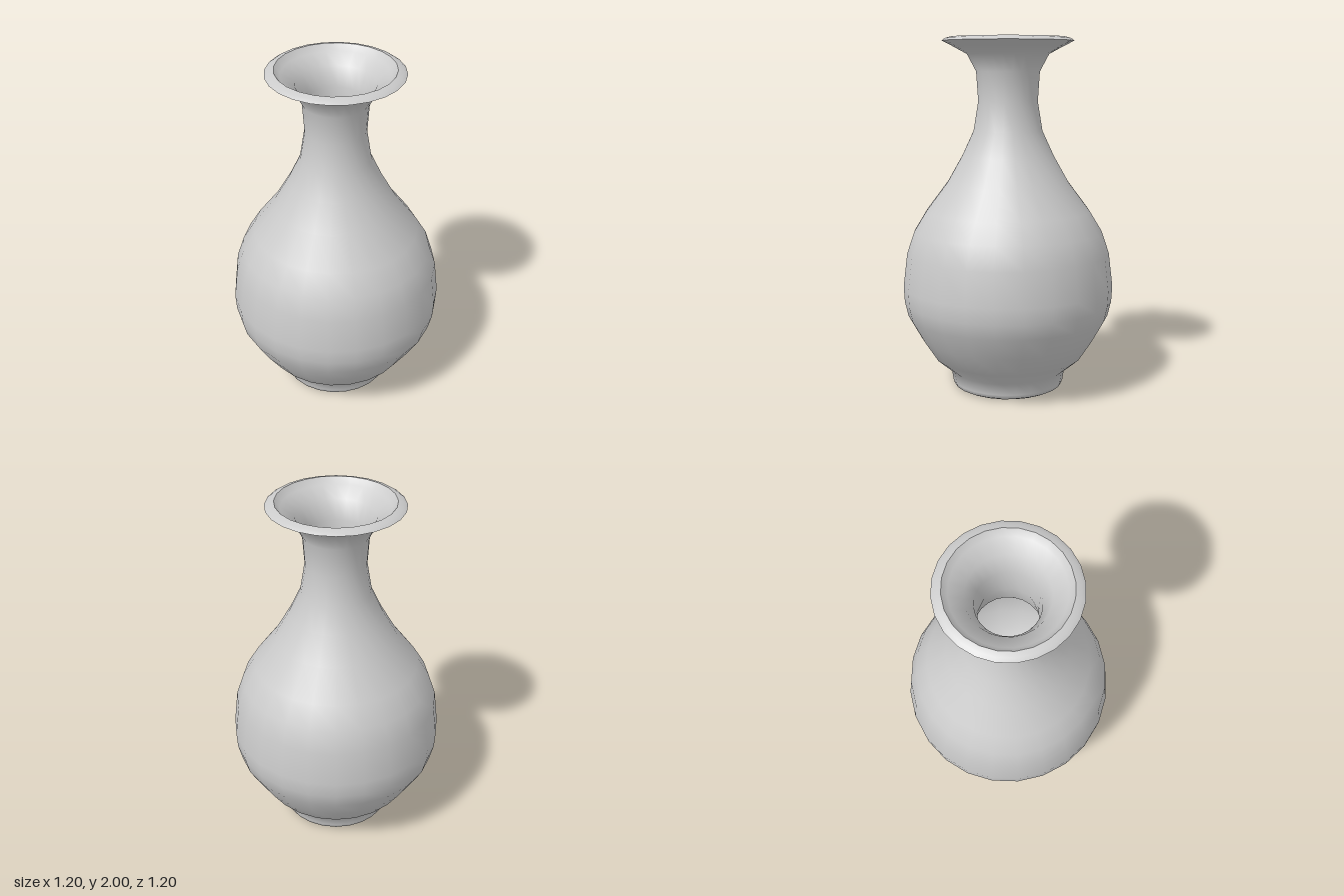
import * as THREE from 'three';

const SIDES = 24;
const material = new THREE.MeshStandardMaterial({ color: 0xcccccc });

// Revolve a [radius, height] profile; separate profiles keep the edges between them sharp
function turned(name, profile) {
  const points = profile.map(([r, y]) => new THREE.Vector2(r, y));
  const mesh = new THREE.Mesh(new THREE.LatheGeometry(points, SIDES), material);
  mesh.name = name;
  return mesh;
}

export function createModel() {
  const vase = new THREE.Group();
  vase.name = 'vase';

  // Hollow under the foot
  vase.add(turned('footHollowRoof', [[0, 0.07], [0.18, 0.07]]));
  vase.add(turned('footHollowWall', [[0.18, 0.07], [0.18, 0]]));
  vase.add(turned('footBase', [[0.18, 0], [0.285, 0]]));

  // Foot, belly, neck and flared mouth in one smooth sweep
  vase.add(turned('body', [
    [0.285, 0], [0.313, 0.014], [0.32, 0.035], [0.33, 0.1], [0.43, 0.185], [0.505, 0.3],
    [0.575, 0.425], [0.595, 0.51], [0.6, 0.6], [0.577, 0.79], [0.535, 0.915],
    [0.465, 1.03], [0.345, 1.19], [0.26, 1.34], [0.195, 1.48], [0.168, 1.645],
    [0.179, 1.81], [0.23, 1.905], [0.31, 1.948], [0.37, 1.978],
  ]));

  // Sloping lip
  vase.add(turned('lip', [[0.37, 1.978], [0.35, 1.992], [0.32, 2]]));

  // Inner wall down to the floor
  const inside = turned('innerWall', [
    [0.32, 2], [0.29, 1.965], [0.215, 1.915], [0.17, 1.81], [0.16, 1.645],
    [0.183, 1.48], [0.245, 1.34], [0.33, 1.19], [0.45, 1.03], [0.52, 0.915],
    [0.56, 0.79], [0.583, 0.6], [0.558, 0.425], [0.49, 0.3], [0.415, 0.2],
    [0.3, 0.11], [0, 0.1],
  ]);
  // The narrow throat has half as many sides: pull every other column onto the chord
  const position = inside.geometry.attributes.position;
  const rows = position.count / (SIDES + 1);
  for (let i = 0; i < position.count; i++) {
    if (Math.floor(i / rows) % 2 === 0 || Math.abs(position.getY(i) - 1.645) > 0.1) continue;
    const k = Math.cos(Math.PI / 12);
    position.setX(i, position.getX(i) * k);
    position.setZ(i, position.getZ(i) * k);
  }
  vase.add(inside);

  return vase;
}
